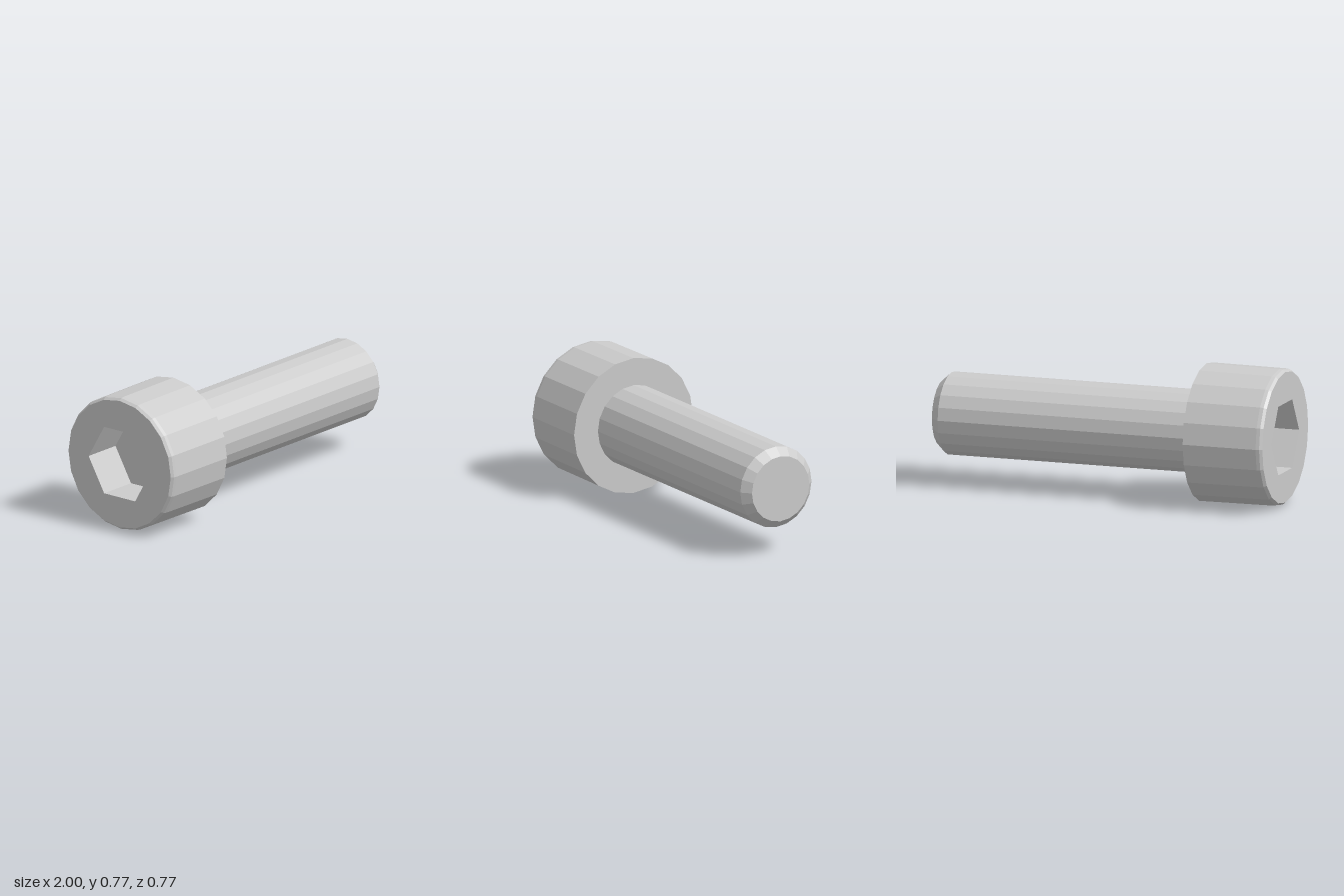
import * as THREE from 'three';

const SIDES = 20;
const HEAD_R = 0.384, FACE_R = 0.366, SHANK_R = 0.23, TIP_R = 0.185, HEX_R = 0.222;
const FACE_X = -1, SHOULDER_X = -0.54, TIP_X = 1, SOCKET_X = -0.77;

const material = new THREE.MeshStandardMaterial({ color: 0xcccccc, flatShading: true });

// Points of a regular polygon, first corner on the +x axis of the shape
function polygon(radius, sides) {
  return Array.from({ length: sides }, (_, i) => {
    const a = (i / sides) * Math.PI * 2;
    return new THREE.Vector2(radius * Math.cos(a), radius * Math.sin(a));
  });
}

// Turns a profile of [radius, x] pairs around the x axis
function turned(name, profile, sides) {
  const geometry = new THREE.LatheGeometry(profile.map(([r, x]) => new THREE.Vector2(r, x)), sides);
  geometry.rotateZ(-Math.PI / 2);
  const mesh = new THREE.Mesh(geometry, material);
  mesh.name = name;
  return mesh;
}

export function createModel() {
  const bolt = new THREE.Group();
  bolt.name = 'socketHeadBolt';

  // Cylindrical head with a small rounded rim and a flat shoulder
  bolt.add(turned('head', [
    [FACE_R, FACE_X], [0.378, -0.985], [0.381, -0.965],
    [HEAD_R, SHOULDER_X], [SHANK_R, SHOULDER_X],
  ], SIDES));

  // Plain shank with a chamfered tip
  bolt.add(turned('shank', [
    [SHANK_R, SHOULDER_X], [SHANK_R, 0.95], [TIP_R, TIP_X], [0, TIP_X],
  ], SIDES));

  // Hexagonal socket: floor first, then the inward-facing walls
  bolt.add(turned('hexSocket', [
    [0, SOCKET_X], [HEX_R, SOCKET_X], [HEX_R, FACE_X],
  ], 6));

  // Flat head face around the socket opening
  const ring = new THREE.Shape(polygon(FACE_R, SIDES));
  ring.holes.push(new THREE.Path(polygon(HEX_R, 6)));
  const face = new THREE.Mesh(new THREE.ShapeGeometry(ring), material);
  face.geometry.rotateY(-Math.PI / 2).translate(FACE_X, 0, 0);
  face.name = 'headFace';
  bolt.add(face);

  // Rest the head on the ground
  bolt.children.forEach((part) => { part.position.y = HEAD_R; });
  return bolt;
}
